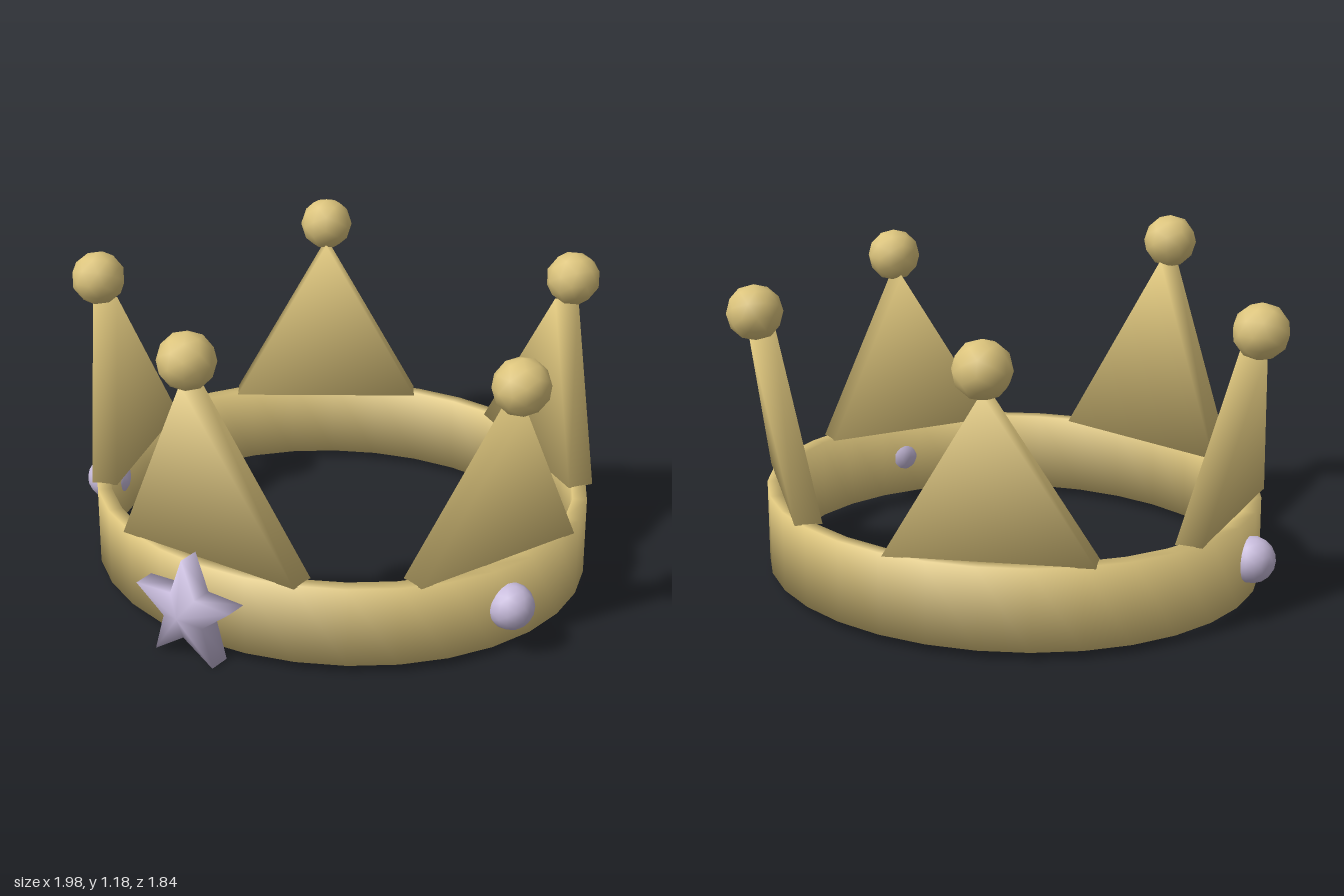
import * as THREE from 'three';
import { mergeVertices } from 'three/addons/utils/BufferGeometryUtils.js';

// Weld all corners and give them angle-weighted smooth normals.
function weldSmooth(source) {
  source.deleteAttribute('uv');
  source.deleteAttribute('normal');
  source.clearGroups();
  const geo = mergeVertices(source, 1e-4);
  const pos = geo.attributes.position;
  const sums = Array.from({ length: pos.count }, () => new THREE.Vector3());
  for (let i = 0; i < geo.index.count; i += 3) {
    const ids = [0, 1, 2].map((k) => geo.index.getX(i + k));
    const p = ids.map((id) => new THREE.Vector3().fromBufferAttribute(pos, id));
    const n = new THREE.Triangle(...p).getNormal(new THREE.Vector3());
    ids.forEach((id, k) => {
      const a = p[(k + 1) % 3].clone().sub(p[k]);
      const b = p[(k + 2) % 3].clone().sub(p[k]);
      if (a.length() > 0 && b.length() > 0) sums[id].addScaledVector(n, a.angleTo(b));
    });
  }
  const normals = sums.flatMap((v) => v.normalize().toArray());
  geo.setAttribute('normal', new THREE.Float32BufferAttribute(normals, 3));
  return geo;
}

export function createModel() {
  const gold = new THREE.MeshStandardMaterial({ color: 0xdcc47c });
  gold.name = 'gold';
  const lilac = new THREE.MeshStandardMaterial({ color: 0xc8bcdc });
  lilac.name = 'lilac';
  const crown = new THREE.Group();
  crown.name = 'crown';

  function add(name, geometry, material, parent = crown) {
    const mesh = new THREE.Mesh(geometry, material);
    mesh.name = name;
    parent.add(mesh);
    return mesh;
  }

  // Band: slightly oval ring with a rectangular section
  const section = [[0.925, 0.03], [0.925, 0.322], [0.872, 0.322], [0.872, 0.03], [0.925, 0.03]];
  const band = new THREE.LatheGeometry(section.map(([r, y]) => new THREE.Vector2(r, y)), 32);
  band.scale(1, 1, 0.855 / 0.925).translate(0, 0, -0.065);
  add('band', weldSmooth(band), gold);

  // Spikes: triangular plates leaning outward, each topped by a ball
  const baseY = 0.32;
  function addSpike(name, x, z, angle, halfWidth, height) {
    const spike = new THREE.Group();
    spike.name = name;
    spike.position.set(x, baseY, z);
    spike.rotation.y = angle;
    crown.add(spike);
    const triangle = new THREE.Shape([
      new THREE.Vector2(-halfWidth, 0),
      new THREE.Vector2(halfWidth, 0),
      new THREE.Vector2(0, height),
    ]);
    const plate = new THREE.ExtrudeGeometry(triangle, { depth: 0.096, bevelEnabled: false });
    const lean = new THREE.Matrix4().set(1, 0, 0, 0, 0, 1, 0, 0, 0, 0.165, 1, -0.048, 0, 0, 0, 1);
    plate.applyMatrix4(lean);
    add('spikePlate', weldSmooth(plate), gold, spike);
    const ball = add('spikeBall', new THREE.IcosahedronGeometry(0.1, 1), gold, spike);
    ball.position.set(0, height + 0.07, 0.122);
  }
  addSpike('frontSpike', 0, 0.694, 0, 0.365, 0.69);
  for (const [side, s] of [['left', 1], ['right', -1]]) {
    addSpike(side + 'SideSpike', s * 0.78, 0.165, s * 1.233, 0.34, 0.6);
    addSpike(side + 'BackSpike', s * 0.485, -0.68, s * 2.554, 0.355, 0.6);

    // Round side gem set into the band
    const gem = add(side + 'Gem', new THREE.IcosahedronGeometry(0.083, 2), lilac);
    gem.position.set(s * 0.888, 0.175, 0.205);
  }

  // Star: straight rim, flat back and a raised centre
  const rim = Array.from({ length: 10 }, (_, i) => {
    const r = i % 2 ? 0.087 : 0.208;
    const a = Math.PI / 2 + (i * Math.PI) / 5;
    return [r * Math.cos(a), r * Math.sin(a)];
  });
  const corners = [];
  rim.forEach(([x0, y0], i) => {
    const [x1, y1] = rim[(i + 1) % 10];
    corners.push(
      0, 0, 0.115, x0, y0, 0.08, x1, y1, 0.08,
      0, 0, 0, x1, y1, 0, x0, y0, 0,
      x0, y0, 0, x1, y1, 0, x1, y1, 0.08,
      x0, y0, 0, x1, y1, 0.08, x0, y0, 0.08,
    );
  });
  const starShape = new THREE.BufferGeometry();
  starShape.setAttribute('position', new THREE.Float32BufferAttribute(corners, 3));
  const star = add('star', weldSmooth(starShape), lilac);
  star.position.set(0, 0.17, 0.8);

  return crown;
}
